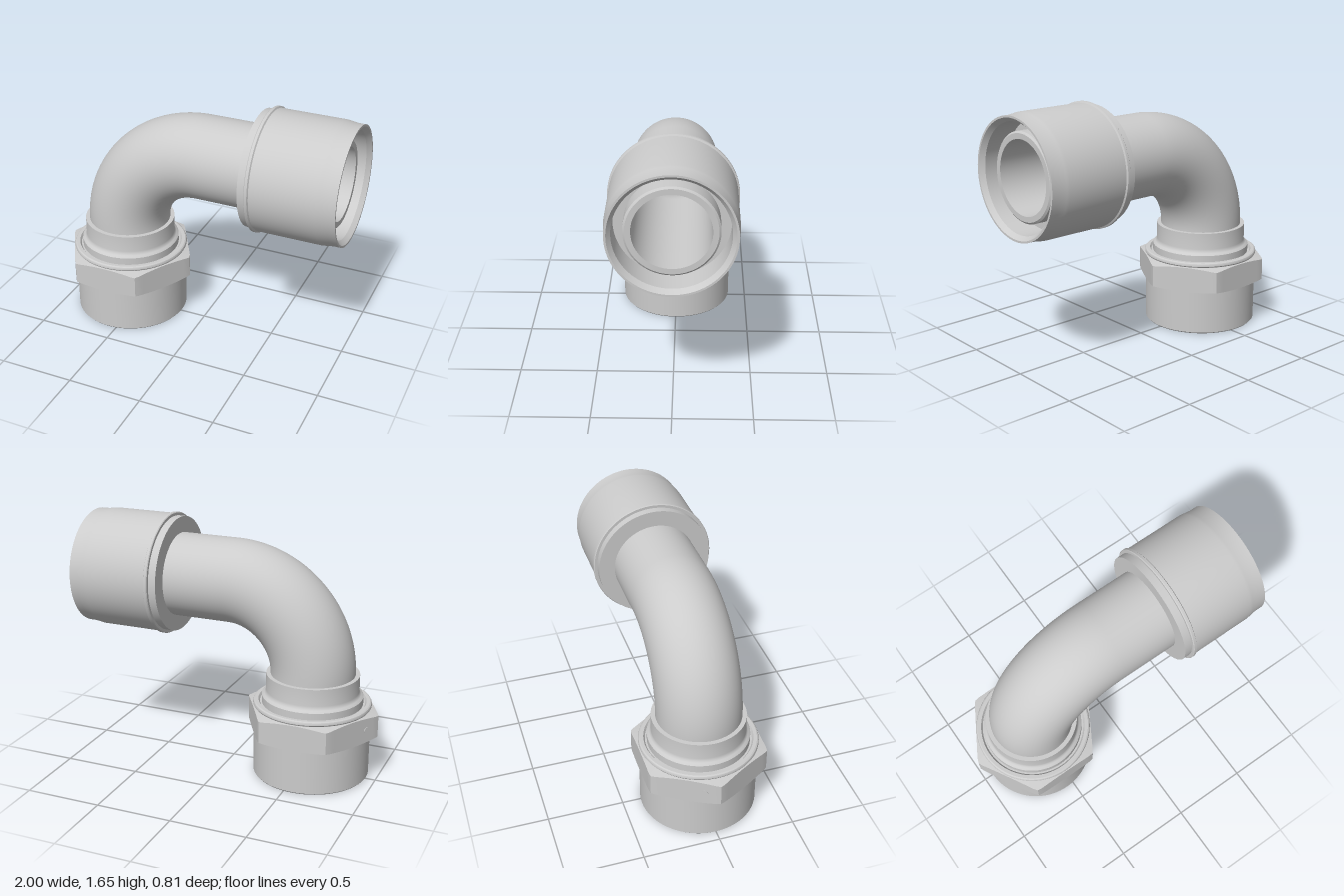
import * as THREE from 'three';
import { toCreasedNormals } from 'three/addons/utils/BufferGeometryUtils.js';

const AXIS_X = -0.555; // vertical axis of the threaded end
const AXIS_Y = 1.246;  // horizontal axis of the socket end
const BEND = 0.555;    // bend radius of the centre line

const material = (side = THREE.FrontSide) => new THREE.MeshStandardMaterial({ color: 0xcccccc, side });

function part(name, geometry, side) {
  const mesh = new THREE.Mesh(geometry, material(side));
  mesh.name = name;
  return mesh;
}

// Revolve [radius, height] pairs; outer walls run upward, inner walls downward
function turned(points, segments = 96) {
  return new THREE.LatheGeometry(points.map(([r, y]) => new THREE.Vector2(r, y)), segments);
}

// Centre line: up, quarter bend, then along +x
function elbowPath(yStart, xEnd) {
  const yBend = AXIS_Y - BEND, k = 0.5523 * BEND;
  const a = new THREE.Vector3(AXIS_X, yBend, 0);
  const b = new THREE.Vector3(AXIS_X + BEND, AXIS_Y, 0);
  const path = new THREE.CurvePath();
  path.add(new THREE.LineCurve3(new THREE.Vector3(AXIS_X, yStart, 0), a));
  path.add(new THREE.CubicBezierCurve3(a, new THREE.Vector3(a.x, a.y + k, 0), new THREE.Vector3(b.x - k, b.y, 0), b));
  path.add(new THREE.LineCurve3(b, new THREE.Vector3(xEnd, AXIS_Y, 0)));
  return path;
}

// Hexagon with corners on the x axis and conical chamfers above and below
function hexGeometry() {
  const apothem = 0.39, corner = 0.446, inner = 0.375;
  const geo = turned([[inner, 0.295], [0.4, 0.295], [0.4, 0.475], [inner, 0.475]]);
  const p = geo.attributes.position;
  for (let i = 0; i < p.count; i++) {
    const x = p.getX(i), z = p.getZ(i);
    if (Math.hypot(x, z) < 0.39) continue;
    const angle = Math.atan2(z, x), sector = Math.PI / 3;
    const offset = angle - (Math.floor(angle / sector + 1e-6) + 0.5) * sector;
    const r = Math.min(apothem / Math.cos(offset), corner);
    const drop = (r - inner) * 0.25;
    const y = p.getY(i) > 0.4 ? 0.475 - drop : 0.295 + drop;
    p.setXYZ(i, r * Math.cos(angle), y, r * Math.sin(angle));
  }
  return toCreasedNormals(geo, 0.5);
}

export function createModel() {
  const model = new THREE.Group();
  model.name = 'elbowFitting';

  // Bent pipe, outside and bore
  model.add(part('pipe', new THREE.TubeGeometry(elbowPath(0.5, 0.5), 100, 0.275, 64)));
  model.add(part('pipeBore', new THREE.TubeGeometry(elbowPath(0.42, 0.935), 100, 0.236, 64), THREE.BackSide));

  // Socket with flange, ridge, flared mouth and recessed inner sleeve
  const socket = part('socket', toCreasedNormals(turned([
    [0.27, 0.38], [0.38, 0.38], [0.38, 0.43], [0.398, 0.43], [0.403, 0.435], [0.403, 0.452],
    [0.393, 0.458], [0.393, 0.88], [0.39, 0.9], [0.383, 0.95], [0.383, 1], [0.37, 1],
    [0.345, 0.97], [0.345, 0.8], [0.282, 0.8], [0.282, 0.925], [0.27, 0.935], [0.235, 0.935],
  ]), 0.5).rotateZ(-Math.PI / 2));
  socket.position.y = AXIS_Y;
  model.add(socket);

  // Union nut: round skirt, hexagon and a small mark on one flat
  const nut = new THREE.Group();
  nut.name = 'unionNut';
  nut.position.x = AXIS_X;
  nut.add(part('nutSkirt', toCreasedNormals(turned([
    [0.316, 0.28], [0.34, 0.28], [0.34, 0.01], [0.347, 0], [0.374, 0], [0.381, 0.008], [0.381, 0.475],
    [0.386, 0.482], [0.386, 0.492], [0.382, 0.5], [0.374, 0.505], [0.352, 0.505], [0.342, 0.49], [0.325, 0.49],
  ]), 0.5)));
  nut.add(part('nutHexagon', hexGeometry()));
  const mark = part('nutMark', new THREE.CylinderGeometry(0.022, 0.025, 0.012, 24).rotateZ(Math.PI / 2));
  const flat = Math.PI * 7 / 6, along = 0.12;
  mark.position.set(
    0.39 * Math.cos(flat) + along * Math.sin(flat), 0.385,
    0.39 * Math.sin(flat) - along * Math.cos(flat));
  mark.rotation.y = -flat;
  nut.add(mark);
  model.add(nut);

  // Stepped collar rising out of the nut, with a conical seat inside
  const collar = part('collar', toCreasedNormals(turned([
    [0.236, 0.42], [0.316, 0.28], [0.33, 0.28], [0.33, 0.54], [0.325, 0.546], [0.314, 0.552],
    [0.306, 0.562], [0.303, 0.578], [0.303, 0.688], [0.27, 0.688],
  ]), 0.5));
  collar.position.x = AXIS_X;
  model.add(collar);

  return model;
}
